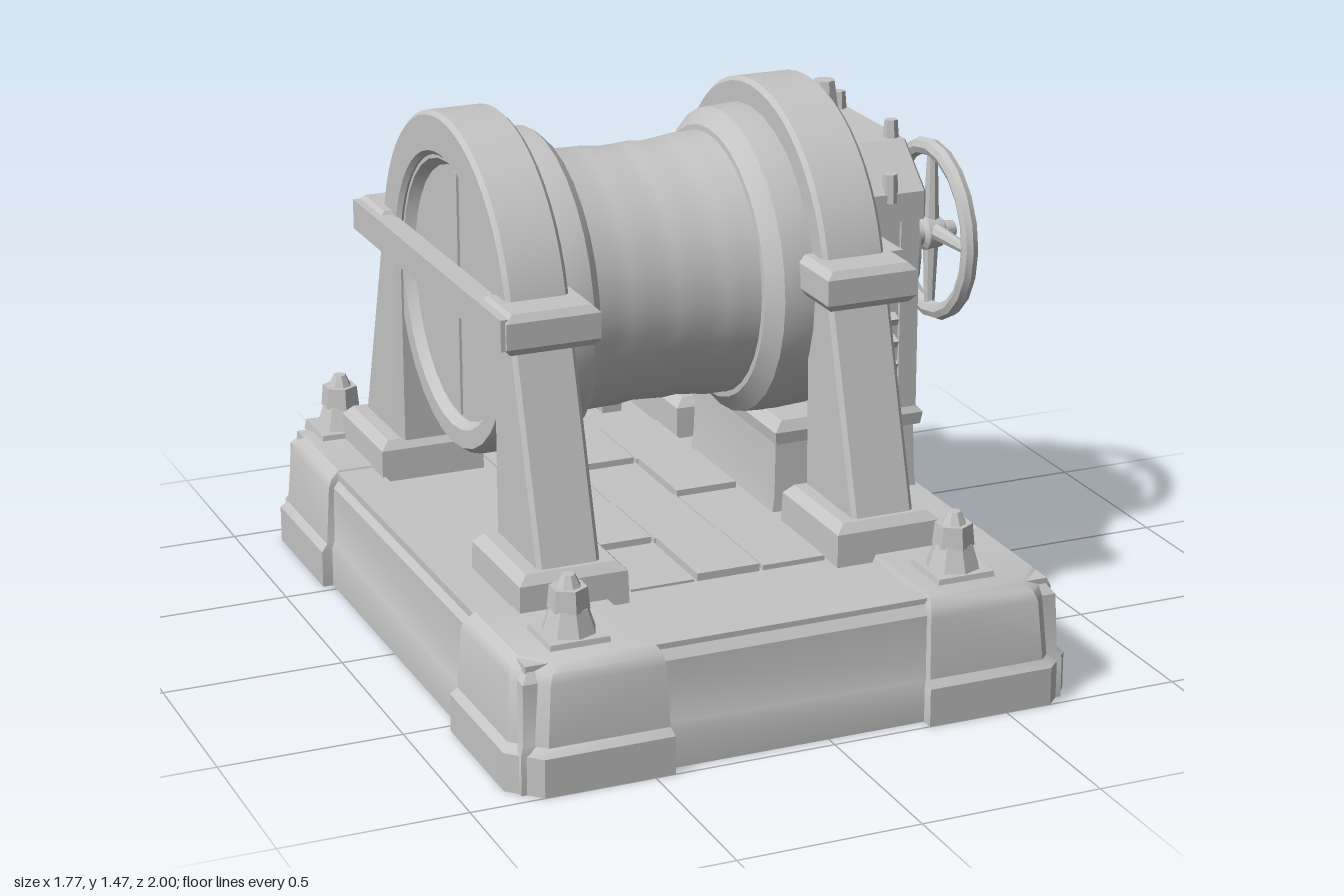
import * as THREE from 'three';
import { toCreasedNormals } from 'three/addons/utils/BufferGeometryUtils.js';

const AXIS_Y = 0.97, AXIS_Z = -0.105;

export function createModel() {
  const model = new THREE.Group();
  model.name = 'winch';
  const grey = new THREE.MeshStandardMaterial({ color: 0xc4c4c4 });
  grey.name = 'light grey';

  function add(name, geo, x = 0, y = 0, z = 0, parent = model) {
    const mesh = new THREE.Mesh(toCreasedNormals(geo, 0.6), grey);
    mesh.name = name;
    mesh.position.set(x, y, z);
    parent.add(mesh);
    return mesh;
  }

  // Box given by its limits
  const box = (name, x0, x1, y0, y1, z0, z1) => add(name,
    new THREE.BoxGeometry(x1 - x0, y1 - y0, z1 - z0), (x0 + x1) / 2, (y0 + y1) / 2, (z0 + z1) / 2);

  // Closed solid from matching convex outlines [x, z] stacked in y
  function loft(levels) {
    const pos = [];
    const n = levels[0].pts.length;
    let area = 0;
    levels[0].pts.forEach(([x, z], i, a) => {
      const [x2, z2] = a[(i + 1) % n];
      area += x * z2 - x2 * z;
    });
    const tri = (a, b, c) => pos.push(...(area > 0 ? [a, c, b] : [a, b, c]).flat());
    const at = (l, i) => [l.pts[i % n][0], l.y, l.pts[i % n][1]];
    const bottom = levels[0], top = levels[levels.length - 1];
    for (let k = 0; k < levels.length - 1; k++) {
      const lo = levels[k], hi = levels[k + 1];
      for (let i = 0; i < n; i++) {
        tri(at(lo, i), at(lo, i + 1), at(hi, i + 1));
        tri(at(lo, i), at(hi, i + 1), at(hi, i));
      }
    }
    for (let i = 1; i < n - 1; i++) {
      tri(at(top, 0), at(top, i), at(top, i + 1));
      tri(at(bottom, 0), at(bottom, i + 1), at(bottom, i));
    }
    const geo = new THREE.BufferGeometry();
    geo.setAttribute('position', new THREE.Float32BufferAttribute(pos, 3));
    return geo;
  }

  // Tapered block with a rectangular plan
  const rect = (cx, cz, hx, hz) => [[cx - hx, cz - hz], [cx + hx, cz - hz], [cx + hx, cz + hz], [cx - hx, cz + hz]];
  const taper = (name, cx, cz, steps) => add(name, loft(steps.map(([y, hx, hz]) => ({ y, pts: rect(cx, cz, hx, hz) }))));

  // Profile [z, y] extruded from x0 to x1
  function extrudeX(shape, x0, x1, bevel = 0) {
    const geo = new THREE.ExtrudeGeometry(shape, {
      depth: x1 - x0 - 2 * bevel, bevelEnabled: bevel > 0, bevelThickness: bevel,
      bevelSize: bevel, bevelOffset: -bevel, bevelSegments: 1, curveSegments: 12 });
    return geo.rotateY(-Math.PI / 2).translate(x1 - bevel, 0, 0);
  }
  const shapeOf = pts => new THREE.Shape(pts.map(p => new THREE.Vector2(...p)));

  // Turned part along x, from [x, radius] pairs
  const turned = (name, profile, sides = 32) => add(name,
    new THREE.LatheGeometry(profile.map(([x, r]) => new THREE.Vector2(r, x)), sides).rotateZ(-Math.PI / 2), 0, AXIS_Y, AXIS_Z);

  // Base: body, raised rim and four chamfered corners
  taper('baseBody', -0.085, 0, [[0, 0.765, 0.965], [0.11, 0.765, 0.965], [0.13, 0.755, 0.955], [0.29, 0.75, 0.945], [0.315, 0.73, 0.925]]);
  const rim = new THREE.Shape(rect(-0.085, 0, 0.735, 0.925).map(p => new THREE.Vector2(...p)));
  rim.holes.push(new THREE.Path(rect(-0.085, 0, 0.62, 0.84).map(p => new THREE.Vector2(...p))));
  add('baseRim', new THREE.ExtrudeGeometry(rim, { depth: 0.03, bevelEnabled: false }).rotateX(-Math.PI / 2), 0, 0.3, 0);
  const cornerSteps = [[0, 0], [0.105, 0], [0.125, 0.018], [0.29, 0.03], [0.315, 0.04], [0.335, 0.065]];
  for (const sx of [-1, 1]) for (const sz of [-1, 1]) {
    const levels = cornerSteps.map(([y, d]) => {
      const X = 0.795 - d, Z = 1 - d, c = 0.08, inner = d * 0.4;
      const pts = [[0.36 + inner, 0.53 + inner], [X, 0.53 + inner], [X, Z - c], [X - c, Z], [0.36 + inner, Z]];
      return { y, pts: pts.map(([x, z]) => [-0.085 + sx * x, sz * z]) };
    });
    add('baseCorner', loft(levels));
  }

  // Floor plates under the drum
  for (let i = 0; i < 3; i++) for (let j = 0; j < 4; j++) {
    const x = -0.38 + i * 0.19, z = -0.6 + j * 0.29, h = 0.322 + 0.007 * ((i * 2 + j) % 3);
    box('floorPlate', x, x + 0.18, 0.3, h, z, z + 0.28);
  }
  box('rearStay', -0.3, 0.1, 0.335, 0.36, -0.8, -0.77);
  for (const x of [-0.3, 0.1]) box('stayFoot', x - 0.03, x + 0.03, 0.31, 0.365, -0.83, -0.75);

  // Anchor bolts on square washers
  for (const [x, z] of [[-0.65, 0.79], [0.44, 0.79], [-0.7, -0.88], [0.54, -0.88]]) {
    taper('boltWasher', x, z, [[0.32, 0.085, 0.085], [0.35, 0.08, 0.08]]);
    add('boltBoss', new THREE.CylinderGeometry(0.052, 0.075, 0.07, 8), x, 0.38, z);
    add('boltNut', new THREE.CylinderGeometry(0.05, 0.056, 0.06, 6), x, 0.44, z);
    add('boltTip', new THREE.CylinderGeometry(0.018, 0.035, 0.035, 8), x, 0.485, z);
  }

  // Arched frames with feet and clamps
  const arch = new THREE.Shape();
  arch.moveTo(AXIS_Z + 0.685, 0.42);
  arch.lineTo(AXIS_Z + 0.5, AXIS_Y + 0.08);
  arch.absarc(AXIS_Z, AXIS_Y, 0.5, 0.16, Math.PI - 0.16, false);
  arch.lineTo(AXIS_Z - 0.685, 0.42);
  arch.lineTo(AXIS_Z - 0.38, 0.42);
  arch.lineTo(AXIS_Z - 0.38, AXIS_Y);
  arch.absarc(AXIS_Z, AXIS_Y, 0.38, Math.PI, 0, true);
  arch.lineTo(AXIS_Z + 0.38, 0.42);
  for (const [x0, x1] of [[-0.65, -0.475], [0.25, 0.43]]) {
    const cx = (x0 + x1) / 2;
    add('archFrame', extrudeX(arch, x0, x1, 0.012));
    for (const s of [-1, 1]) {
      taper('archFoot', cx, AXIS_Z + s * 0.54, [[0.31, 0.152, 0.18], [0.405, 0.15, 0.175], [0.43, 0.125, 0.155]]);
      taper('archClamp', cx, AXIS_Z + s * 0.495,
        [[0.985, 0.115, 0.085], [1.005, 0.13, 0.1], [1.075, 0.13, 0.1], [1.095, 0.11, 0.085]]);
    }
  }
  box('crossBar', -0.705, -0.645, 1.0, 1.085, -0.69, 0.48);

  // Drum with flanges and a recessed end plate
  turned('drumEnd', [[-0.605, 0], [-0.605, 0.35], [-0.632, 0.37], [-0.632, 0.42], [-0.61, 0.435], [-0.475, 0.435]]);
  turned('leftFlange', [[-0.5, 0], [-0.5, 0.43], [-0.47, 0.435], [-0.385, 0.432], [-0.36, 0.41], [-0.355, 0.35]]);
  const drum = [];
  for (let i = 0; i <= 12; i++) {
    const t = i / 12;
    drum.push([-0.38 + 0.54 * t, 0.352 + 0.02 * (2 * t - 1) ** 2 + 0.003 * Math.sin(i * 2.1)]);
  }
  turned('cableDrum', drum, 36);
  turned('rightFlange', [[0.12, 0.33], [0.125, 0.38], [0.145, 0.4], [0.165, 0.425], [0.25, 0.43], [0.4, 0.42], [0.4, 0]]);
  // End plate ribs
  for (const a of [0, Math.PI / 2])
    add('endRib', new THREE.BoxGeometry(0.01, 0.68, 0.03), -0.607, AXIS_Y, AXIS_Z).rotation.x = a;

  // Gearbox: plinth, ledge, housing and octagonal head
  taper('gearboxPlinth', 0.42, AXIS_Z, [[0.3, 0.225, 0.285], [0.36, 0.215, 0.28], [0.53, 0.21, 0.275]]);
  taper('gearboxLedge', 0.425, AXIS_Z, [[0.515, 0.22, 0.29], [0.55, 0.225, 0.295], [0.58, 0.2, 0.28]]);
  const housing = [[0.28, 0.55], [0.28, 1.16], [0.16, 1.28], [-0.16, 1.28], [-0.28, 1.16], [-0.28, 0.55]]
    .map(([z, y]) => [AXIS_Z - z, y]);
  add('gearboxHousing', extrudeX(shapeOf(housing), 0.35, 0.62, 0.01));
  const hood = [[0.32, 1.12], [0.32, 1.2], [0.19, 1.315], [-0.19, 1.315], [-0.32, 1.2], [-0.32, 1.12],
    [-0.27, 1.12], [-0.15, 1.25], [0.15, 1.25], [0.27, 1.12]].map(([z, y]) => [AXIS_Z + z, y]);
  add('gearboxHood', extrudeX(shapeOf(hood), 0.42, 0.635, 0.008));
  taper('hoodBlock', 0.46, AXIS_Z, [[1.29, 0.06, 0.11], [1.34, 0.05, 0.08], [1.36, 0.045, 0.06]]);
  add('fillerCap', new THREE.CylinderGeometry(0.03, 0.045, 0.1, 8), 0.475, 1.4, AXIS_Z);

  for (const s of [-1, 1]) {
    // Side louvres, ribs and hood bolts
    for (let i = 0; i < 4; i++)
      add('louvre', new THREE.BoxGeometry(0.13, 0.022, 0.04), 0.5, 0.64 + i * 0.065, AXIS_Z + s * 0.285).rotation.x = s * 0.45;
    box('sideRib', 0.575, 0.63, 0.57, 1.15, AXIS_Z + s * 0.27 - 0.02, AXIS_Z + s * 0.27 + 0.02);
    box('sideClampLug', 0.42, 0.5, 1.0, 1.085, AXIS_Z + s * 0.36 - 0.09, AXIS_Z + s * 0.36 + 0.09);
    add('hoodBolt', new THREE.CylinderGeometry(0.018, 0.024, 0.07, 6), 0.6, 1.33, AXIS_Z + s * 0.165);
    add('shoulderBolt', new THREE.CylinderGeometry(0.02, 0.024, 0.08, 6), 0.53, 1.215, AXIS_Z + s * 0.305);
    add('faceBolt', new THREE.CylinderGeometry(0.025, 0.03, 0.03, 6).rotateZ(-Math.PI / 2), 0.63, 0.69, AXIS_Z + s * 0.21);
  }

  // Bearing cover and shaft
  turned('bearingCover', [[0.6, 0.24], [0.64, 0.235], [0.65, 0.2], [0.69, 0.19], [0.7, 0.13], [0.715, 0.11], [0.72, 0.05], [0.74, 0.035],
    [0.78, 0.035], [0.79, 0.05], [0.84, 0.045], [0.85, 0.03], [0.885, 0.025], [0.89, 0]], 20);

  // Handwheel
  const wheel = new THREE.Group();
  wheel.name = 'handwheel';
  wheel.position.set(0.815, AXIS_Y + 0.01, AXIS_Z);
  model.add(wheel);
  add('wheelRim', new THREE.TorusGeometry(0.237, 0.025, 8, 20).rotateY(Math.PI / 2), 0, 0, 0, wheel);
  for (let i = 0; i < 4; i++) {
    const spoke = new THREE.CylinderGeometry(0.015, 0.024, 0.22, 8).translate(0, 0.125, 0).rotateX(i * Math.PI / 2);
    add('wheelSpoke', spoke, 0, 0, 0, wheel);
  }
  return model;
}
